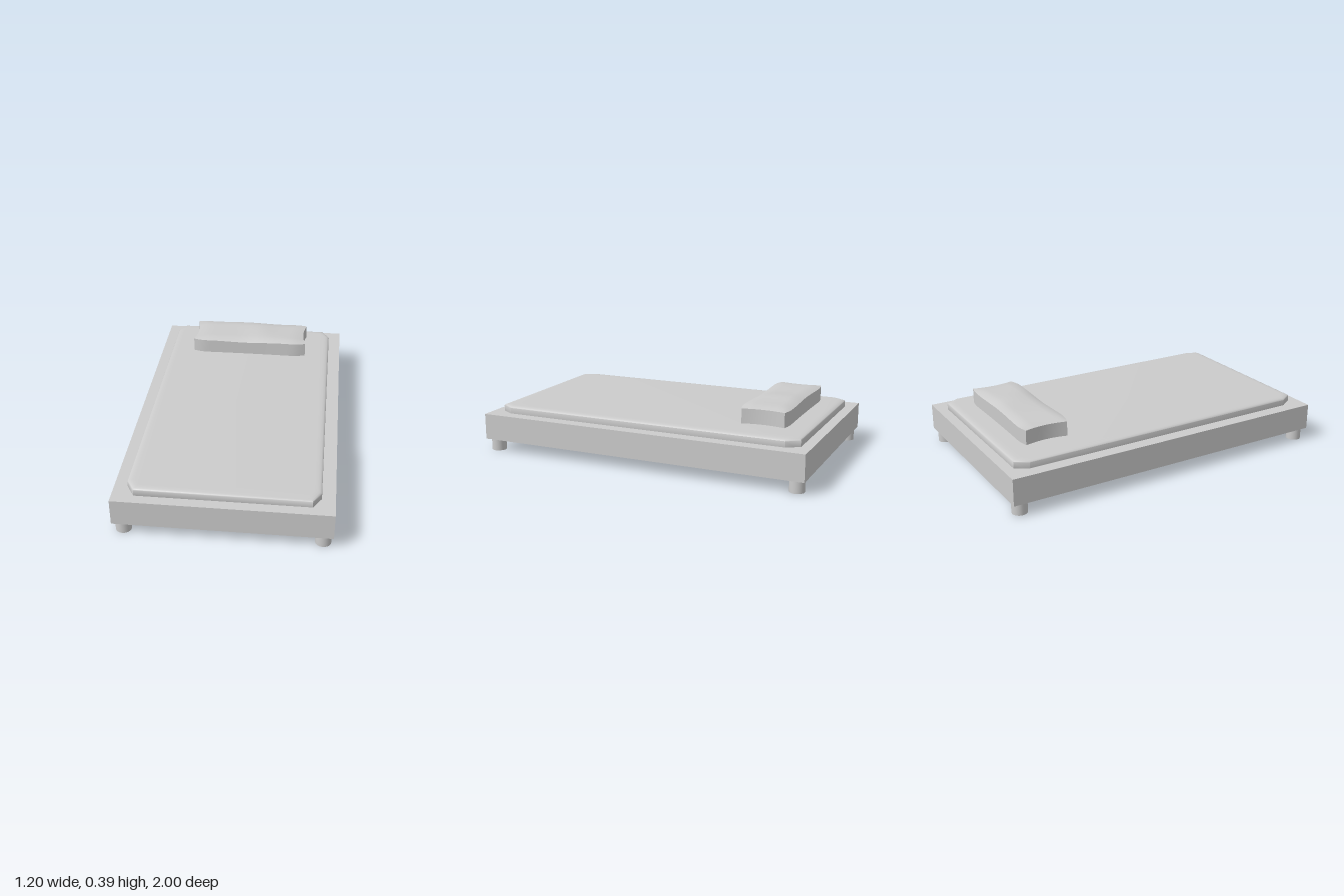
import * as THREE from 'three';
import { toCreasedNormals } from 'three/addons/utils/BufferGeometryUtils.js';

const material = new THREE.MeshStandardMaterial({ color: 0xcccccc });

function part(name, geometry, x = 0, y = 0, z = 0) {
  const mesh = new THREE.Mesh(geometry, material);
  mesh.name = name;
  mesh.position.set(x, y, z);
  return mesh;
}

// Slab with clipped corners and a softly rounded upper edge
function mattressGeometry() {
  const w = 0.525, l = 0.94, cx = 0.045, cz = 0.075;
  const outline = new THREE.Shape([
    [w, -l + cz], [w, l - cz], [w - cx, l], [-w + cx, l],
    [-w, l - cz], [-w, -l + cz], [-w + cx, -l], [w - cx, -l],
  ].map(([x, y]) => new THREE.Vector2(x, y)));
  const geometry = new THREE.ExtrudeGeometry(outline, {
    depth: 0.06, bevelThickness: 0.012, bevelSize: 0.04, bevelOffset: -0.04, bevelSegments: 4,
  });
  geometry.rotateX(-Math.PI / 2);
  return toCreasedNormals(geometry, 0.75);
}

// Subdivided box with pinched ends, clipped corners and an uneven, puffed top
function pillowGeometry() {
  const geometry = new THREE.BoxGeometry(2, 2, 2, 18, 1, 8);
  const pos = geometry.attributes.position;
  for (let i = 0; i < pos.count; i++) {
    const u = pos.getX(i), v = pos.getZ(i), top = pos.getY(i) > 0;
    const corner = Math.max(0, (Math.abs(u) - 0.84) / 0.16);
    const x = u * (0.352 + 0.018 * v * v);
    const z = v * (0.137 + 0.005 * u * u - (v > 0 ? 0.02 : 0.014) * corner);
    const rim = Math.max(Math.abs(u) ** 8, Math.abs(v) ** 8);
    const puff = 0.013 * (1 - rim) + 0.009 * Math.exp(-(((u - 0.2) / 0.25) ** 2)) * (1 - v * v);
    const wave = 0.004 * Math.sin(u * 4 - 1.2) * v * (1 - u * u);
    const y = top ? 0.371 + puff + wave : 0.286 - 0.005 * (1 - rim);
    pos.setXYZ(i, x, y, z);
  }
  return toCreasedNormals(geometry, 0.5);
}

export function createModel() {
  const bed = new THREE.Group();
  bed.name = 'bed';

  // Solid base
  bed.add(part('bedFrame', new THREE.BoxGeometry(1.2, 0.155, 2), 0, 0.1485, 0));

  // Four short round feet
  const footGeometry = new THREE.CylinderGeometry(0.044, 0.044, 0.073, 24);
  for (const x of [-0.545, 0.545]) {
    for (const z of [-0.945, 0.945]) {
      bed.add(part('foot', footGeometry, x, 0.0365, z));
    }
  }

  // Bedding
  bed.add(part('mattress', mattressGeometry(), 0, 0.2, 0));
  bed.add(part('pillow', pillowGeometry(), 0, 0, -0.683));

  return bed;
}
